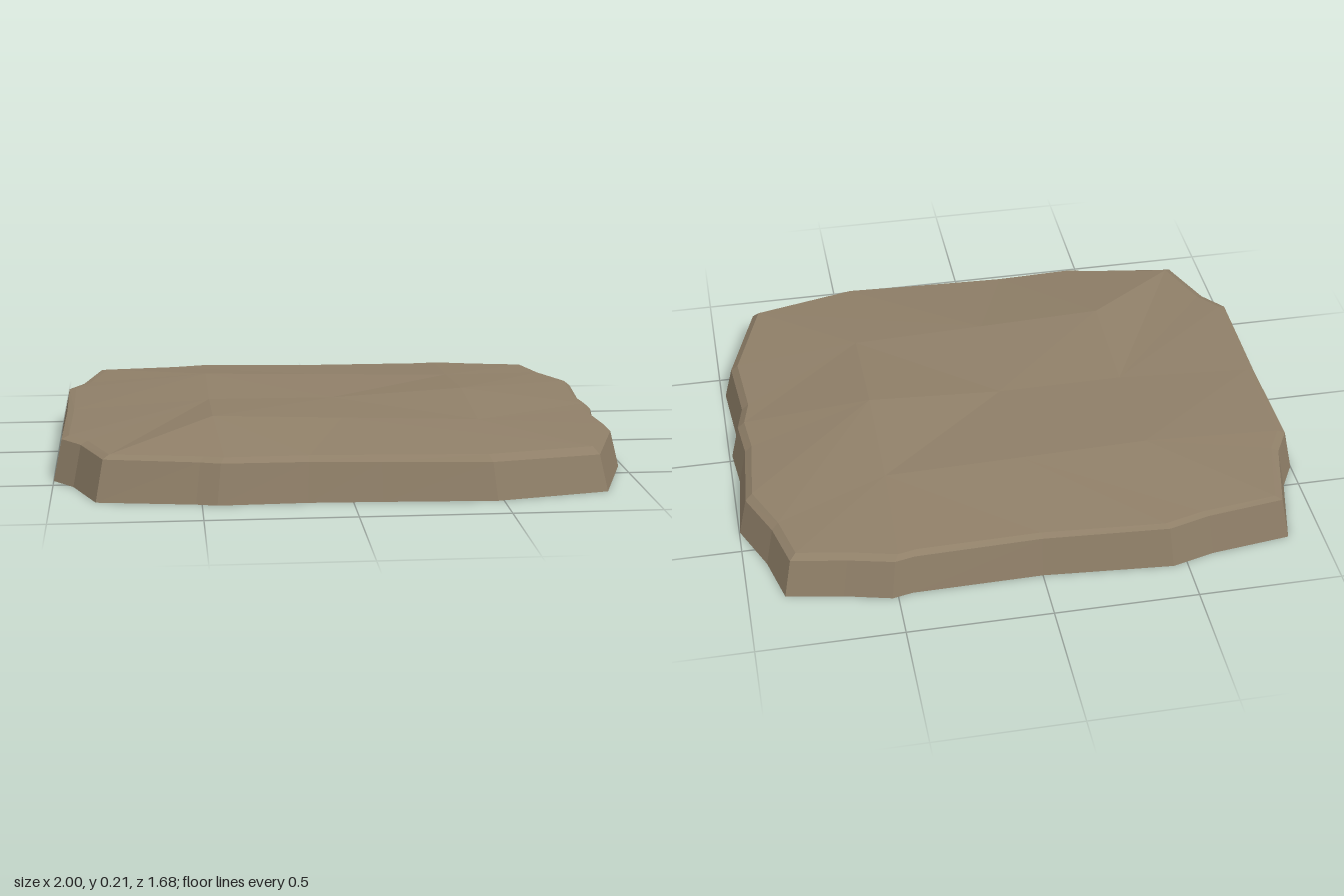
import * as THREE from 'three';

// Footprint of the slab, counter-clockwise from the front right corner: x, z
const OUTLINE = [
  [-0.85, 0.745], [-0.52, 0.8], [-0.45, 0.82], [-0.15, 0.81], [0.1, 0.82], [0.48, 0.84],
  [0.87, 0.75], [0.985, 0.4], [0.965, 0.14], [0.99, 0.03], [0.975, -0.12], [0.998, -0.4],
  [0.92, -0.58], [0.875, -0.755], [0.68, -0.79], [0.52, -0.83], [0.45, -0.815], [0, -0.81],
  [-0.45, -0.845], [-0.6, -0.805], [-0.88, -0.77], [-0.945, -0.5], [-1, -0.4],
  [-0.995, 0], [-1, 0.44], [-0.93, 0.53],
];

// Worn bumps around the middle of the top, same order: x, y, z
const BUMPS = [
  [-0.45, 0.21, 0.4], [0, 0.195, 0.4], [0.48, 0.18, 0.4], [0.48, 0.21, 0],
  [0.48, 0.18, -0.4], [0, 0.19, -0.4], [-0.45, 0.2, -0.4], [-0.45, 0.185, 0],
];

const ring = (scale, height) =>
  OUTLINE.map(([x, z]) => [x * scale, height(x, z), z * scale]);

// Band between two rings with equal point counts
function band(lower, upper) {
  return lower.flatMap((a, i) => {
    const j = (i + 1) % lower.length;
    return [a, lower[j], upper[j], a, upper[j], upper[i]];
  });
}

// Fan from a ring to one point
const fan = (points, centre) =>
  points.flatMap((p, i) => [p, points[(i + 1) % points.length], centre]);

// Joins two rings with different point counts by comparing angles
function stitch(outer, inner) {
  const turn = Math.PI * 2;
  const angle = (points, i) => {
    if (i >= points.length) return turn + i - points.length;
    const [x, , z] = points[i];
    return (Math.atan2(-z, x) + 2.43 + turn) % turn;
  };
  const out = [];
  let i = 0, j = 0;
  while (i < outer.length || j < inner.length) {
    const o = outer[i % outer.length], n = inner[j % inner.length];
    const stepOuter = j >= inner.length ||
      (i < outer.length && angle(outer, i + 1) <= angle(inner, j + 1));
    if (stepOuter) out.push(o, outer[++i % outer.length], n);
    else out.push(o, inner[++j % inner.length], n);
  }
  return out;
}

export function createModel() {
  const group = new THREE.Group();
  group.name = 'stoneSlab';
  const stone = new THREE.MeshStandardMaterial({ color: 0x8f7f68 });
  stone.name = 'brown stone';

  const addPart = (name, corners) => {
    const geometry = new THREE.BufferGeometry();
    geometry.setAttribute('position', new THREE.Float32BufferAttribute(corners.flat(), 3));
    geometry.computeVertexNormals(); // unshared corners give flat facets
    const mesh = new THREE.Mesh(geometry, stone);
    mesh.name = name;
    group.add(mesh);
  };

  const base = ring(1, () => 0);
  const rim = ring(0.97, (x, z) => 0.138 - 0.01 * x - 0.008 * z);
  const edge = ring(0.945, (x, z) => 0.153 - 0.003 * x - 0.003 * z);

  addPart('sides', band(base, rim));
  addPart('chippedEdge', band(rim, edge));
  addPart('topSurface', [...stitch(edge, BUMPS), ...fan(BUMPS, [0, 0.183, 0])]);
  addPart('underside', fan([...base].reverse(), [0, 0, 0]));
  return group;
}
